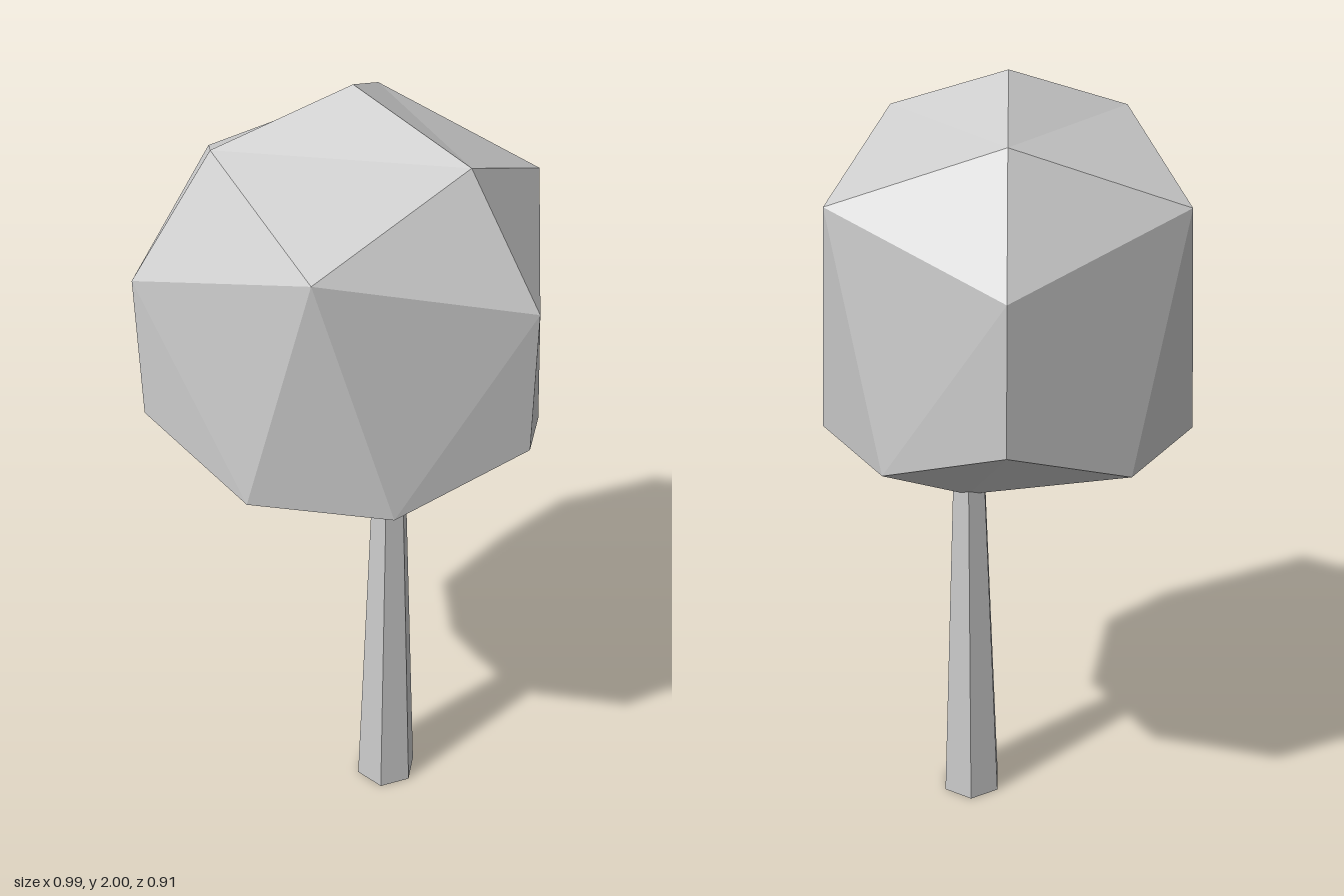
import * as THREE from 'three';

const material = new THREE.MeshStandardMaterial({ color: 0xcccccc, flatShading: true });

// Faceted crown with threefold symmetry around x = -0.03
function crownGeometry() {
  const at = (k, degrees, radius, y) => {
    const a = THREE.MathUtils.degToRad(120 * k + degrees);
    return [-0.03 + radius * Math.cos(a), y, radius * Math.sin(a)];
  };
  const top = [-0.03, 2, 0];
  const bottom = [0.09, 0.907, 0];
  const sector = (k) => ({
    cap: at(k, 0, 0.328, 1.893),
    shoulder: at(k, 60, 0.468, 1.742),
    upper: at(k, 0, 0.525, 1.613),
    lower: at(k, 0, 0.525, 1.268),
    rimA: at(k, 38.2, 0.46, 1.152),
    rimB: at(k, -38.2, 0.46, 1.152),
  });

  const positions = [];
  const face = (a, b, c) => positions.push(...c, ...b, ...a);
  for (let k = 0; k < 3; k++) {
    const s = sector(k);
    const n = sector(k + 1);
    // Top
    face(top, s.cap, n.cap);
    face(s.cap, s.shoulder, n.cap);
    face(s.cap, s.upper, s.shoulder);
    face(n.cap, s.shoulder, n.upper);
    // Sides
    face(s.upper, s.lower, s.rimA);
    face(s.upper, s.rimA, s.shoulder);
    face(s.shoulder, s.rimA, n.rimB);
    face(s.shoulder, n.rimB, n.upper);
    face(n.upper, n.rimB, n.lower);
    // Underside
    face(bottom, n.rimB, s.rimA);
    face(bottom, s.rimA, s.lower);
    face(bottom, s.lower, s.rimB);
  }
  const geometry = new THREE.BufferGeometry();
  geometry.setAttribute('position', new THREE.Float32BufferAttribute(positions, 3));
  geometry.computeVertexNormals();
  return geometry;
}

export function createModel() {
  const model = new THREE.Group();
  model.name = 'tree';

  // Tapered six-sided trunk, sunk slightly into the crown
  const height = 0.97;
  const trunkGeometry = new THREE.CylinderGeometry(0.046, 0.085, height, 6);
  trunkGeometry.rotateY(Math.PI / 6);
  const trunk = new THREE.Mesh(trunkGeometry, material);
  trunk.name = 'trunk';
  trunk.position.set(0.085, height / 2, 0);

  const crown = new THREE.Mesh(crownGeometry(), material);
  crown.name = 'crown';

  model.add(trunk, crown);
  return model;
}
